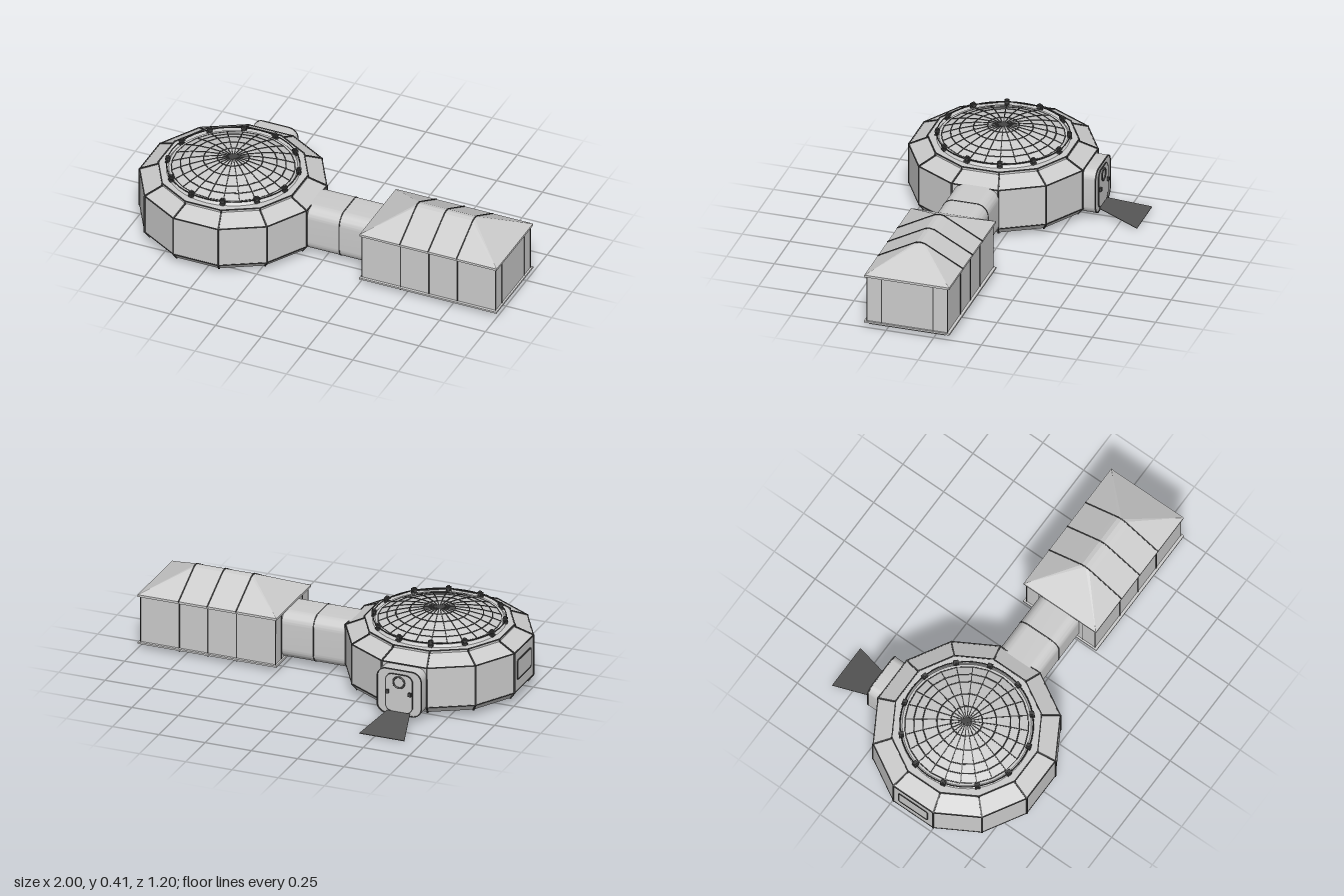
import * as THREE from 'three';
import { toCreasedNormals } from 'three/addons/utils/BufferGeometryUtils.js';
import { ConvexGeometry } from 'three/addons/geometries/ConvexGeometry.js';

const grey = new THREE.MeshStandardMaterial({ color: 0xcccccc });
const flat = new THREE.MeshStandardMaterial({ color: 0xcccccc, flatShading: true });
const dark = new THREE.MeshStandardMaterial({ color: 0x444444 });
const rampMat = new THREE.MeshStandardMaterial({ color: 0x555555 });
const V = (x, y, z) => new THREE.Vector3(x, y, z);

function add(parent, name, geometry, material, x = 0, y = 0, z = 0) {
  const mesh = new THREE.Mesh(geometry, material);
  mesh.name = name;
  mesh.position.set(x, y, z);
  parent.add(mesh);
  return mesh;
}

function group(parent, name, x = 0, y = 0, z = 0) {
  const g = new THREE.Group();
  g.name = name;
  g.position.set(x, y, z);
  parent.add(g);
  return g;
}

// Square bar from a to b, in the parent's own frame
function bar(parent, name, a, b, t) {
  const mesh = add(parent, name, new THREE.BoxGeometry(t, t, a.distanceTo(b) + t * 0.5), dark);
  mesh.position.copy(a).lerp(b, 0.5);
  mesh.quaternion.setFromRotationMatrix(new THREE.Matrix4().lookAt(b, a, V(0, 1, 0)));
}

function bars(parent, name, points, t, closed = false) {
  const n = points.length;
  for (let i = 0; i < (closed ? n : n - 1); i++) bar(parent, name, points[i], points[(i + 1) % n], t);
}

function roundedRect(w, h, r) {
  const s = new THREE.Shape(), x = w / 2, y = h / 2;
  s.absarc(x - r, y - r, r, 0, Math.PI / 2);
  s.absarc(-x + r, y - r, r, Math.PI / 2, Math.PI);
  s.absarc(-x + r, -y + r, r, Math.PI, Math.PI * 1.5);
  s.absarc(x - r, -y + r, r, Math.PI * 1.5, Math.PI * 2);
  s.closePath();
  return s;
}

function extrude(shape, depth) {
  return toCreasedNormals(new THREE.ExtrudeGeometry(shape, { depth, curveSegments: 8, bevelEnabled: false }), 0.6);
}

// Hollow rounded frame of band width t
function frame(w, h, r, t, depth) {
  const s = roundedRect(w, h, r);
  s.holes.push(roundedRect(w - 2 * t, h - 2 * t, r - t));
  return extrude(s, depth);
}

function ring(parent, name, r, tube, y, segments) {
  add(parent, name, new THREE.TorusGeometry(r, tube, 6, segments).rotateX(Math.PI / 2), dark, 0, y, 0);
}

function buildHabitat(root) {
  const g = group(root, 'habitat', -0.54, 0, 0.139);
  const k = 1 / Math.cos(Math.PI / 12);
  // Twelve-sided hull: apothem and height pairs
  const profile = [[0, 0.03], [0.43, 0.03], [0.456, 0.065], [0.456, 0.28], [0.365, 0.32], [0.365, 0.333], [0, 0.333]];
  add(g, 'hull', new THREE.LatheGeometry(profile.map(([r, y]) => new THREE.Vector2(r * k, y)), 12, Math.PI / 12), flat);
  const corner = (i, j) => {
    const a = Math.PI / 12 + (j * Math.PI) / 6, r = profile[i][0] * k;
    return V(Math.sin(a) * r, profile[i][1], Math.cos(a) * r);
  };

  // Edge frame and rail posts
  for (let j = 0; j < 12; j++) {
    bars(g, 'hullRib', [1, 2, 3, 4, 5].map((i) => corner(i, j)), 0.008);
    for (const i of [2, 3, 5]) bar(g, 'hullEdge', corner(i, j), corner(i, j + 1), i === 2 ? 0.004 : 0.006);
    const a = Math.PI / 12 + (j * Math.PI) / 6;
    const post = group(g, 'railPost', Math.sin(a) * 0.33, 0.352, Math.cos(a) * 0.33);
    post.rotation.y = a;
    add(post, 'postStem', new THREE.BoxGeometry(0.014, 0.04, 0.014), dark);
    for (const y of [-0.009, 0.009]) add(post, 'postClamp', new THREE.BoxGeometry(0.026, 0.009, 0.024), dark, 0, y, 0);
  }

  // Shallow dome with its collar, meridians and rings
  const domeY = (r) => 0.405 - 0.06 * (r / 0.31) ** 2;
  const domePts = [0.31, 0.265, 0.22, 0.15, 0.08, 0].map((r) => new THREE.Vector2(r, domeY(r)));
  add(g, 'domeCollar', new THREE.CylinderGeometry(0.322, 0.335, 0.014, 48), grey, 0, 0.339, 0);
  add(g, 'dome', new THREE.LatheGeometry(domePts, 24), flat);
  for (let i = 0; i < 24; i++) {
    const a = (i * Math.PI) / 12;
    bars(g, 'domeMeridian', domePts.map((p) => V(Math.sin(a) * p.x, p.y, Math.cos(a) * p.x)), 0.005);
  }
  for (const p of domePts.slice(0, 5)) ring(g, 'domeRing', p.x, 0.003, p.y, 24);
  ring(g, 'rail', 0.333, 0.003, 0.356, 48);

  // Window on the far end facet
  const w = group(g, 'sideWindow', -0.456, 0.175, 0);
  w.rotation.y = -Math.PI / 2;
  add(w, 'windowFrame', frame(0.18, 0.11, 0.014, 0.007, 0.004), dark);
  add(w, 'windowPane', new THREE.BoxGeometry(0.166, 0.096, 0.004), grey);
}

function buildAirlock(root) {
  // Local +z points out of the door
  const g = group(root, 'airlock', -0.54, 0.155, -0.28);
  g.rotation.y = Math.PI;
  add(g, 'airlockShell', extrude(roundedRect(0.24, 0.245, 0.05), 0.102), grey);
  add(g, 'airlockRim', frame(0.243, 0.248, 0.0515, 0.006, 0.006), dark, 0, 0, 0.099);
  add(g, 'door', extrude(roundedRect(0.14, 0.2, 0.035), 0.004), grey, 0, -0.005, 0.102);
  add(g, 'doorFrame', frame(0.15, 0.21, 0.04, 0.005, 0.005), dark, 0, -0.005, 0.102);
  add(g, 'porthole', new THREE.TorusGeometry(0.03, 0.005, 8, 24), dark, 0, 0.055, 0.107);
  for (const s of [-1, 1]) add(g, 'doorLatch', new THREE.BoxGeometry(0.015, 0.02, 0.014), dark, s * 0.06, 0, 0.11);

  // Flared ramp down to the ground
  const ramp = [];
  for (const t of [0, 0.003]) {
    for (const s of [-1, 1]) ramp.push(V(-0.538 + s * 0.062, 0.047 + t, -0.385), V(-0.538 + s * 0.122, t, -0.602));
  }
  add(root, 'ramp', new ConvexGeometry(ramp), rampMat);
}

function buildTunnel(root) {
  const g = group(root, 'tunnel', 0, 0.157, 0.133);
  add(g, 'tunnelShell', extrude(roundedRect(0.24, 0.254, 0.06), 0.41).rotateY(Math.PI / 2), grey, -0.14, 0, 0);
  add(g, 'tunnelRib', frame(0.244, 0.258, 0.062, 0.008, 0.006).rotateY(Math.PI / 2), dark, 0.087, 0, 0);
}

function buildModule(root) {
  const g = group(root, 'boxModule', 0.625, 0, 0.142);
  add(g, 'baseSkid', new THREE.BoxGeometry(0.73, 0.01, 0.4), grey, 0, 0.022, 0);
  add(g, 'baseSlab', new THREE.BoxGeometry(0.75, 0.009, 0.449), grey, 0, 0.03, 0);
  add(g, 'walls', new THREE.BoxGeometry(0.73, 0.255, 0.42), grey, 0, 0.16, 0);
  add(g, 'eave', new THREE.BoxGeometry(0.75, 0.012, 0.445), grey, 0, 0.287, 0);

  // Hipped roof with a rounded ridge: half length, half width, height
  const levels = [[0.373, 0.22, 0.293], [0.157, 0.045, 0.388], [0.155, 0.022, 0.4], [0.155, 0, 0.404]];
  const pts = [];
  for (const [x, z, y] of levels) {
    for (const sx of [-1, 1]) for (const sz of [-1, 1]) pts.push(V(sx * x, y, sz * z));
  }
  add(g, 'roof', new ConvexGeometry(pts), flat);

  // Hoops around walls, floor and roof
  for (const x of [-0.155, 0, 0.155]) {
    const side = [[0.21, 0.018], [0.21, 0.285], [0.222, 0.293], [0.045, 0.388], [0.022, 0.4]];
    const loop = [...side.map(([z, y]) => V(x, y, z)), V(x, 0.404, 0), ...side.reverse().map(([z, y]) => V(x, y, -z))];
    bars(g, 'hoop', loop, 0.006, true);
  }
  // Corner trims and end wall seams
  for (const sx of [-1, 1]) {
    for (const z of [-0.21, -0.135, 0.135, 0.21]) {
      bar(g, 'wallTrim', V(sx * 0.365, 0.035, z), V(sx * 0.365, 0.282, z), 0.004);
    }
  }
}

export function createModel() {
  const root = new THREE.Group();
  root.name = 'outpost';
  buildHabitat(root);
  buildAirlock(root);
  buildTunnel(root);
  buildModule(root);
  return root;
}
